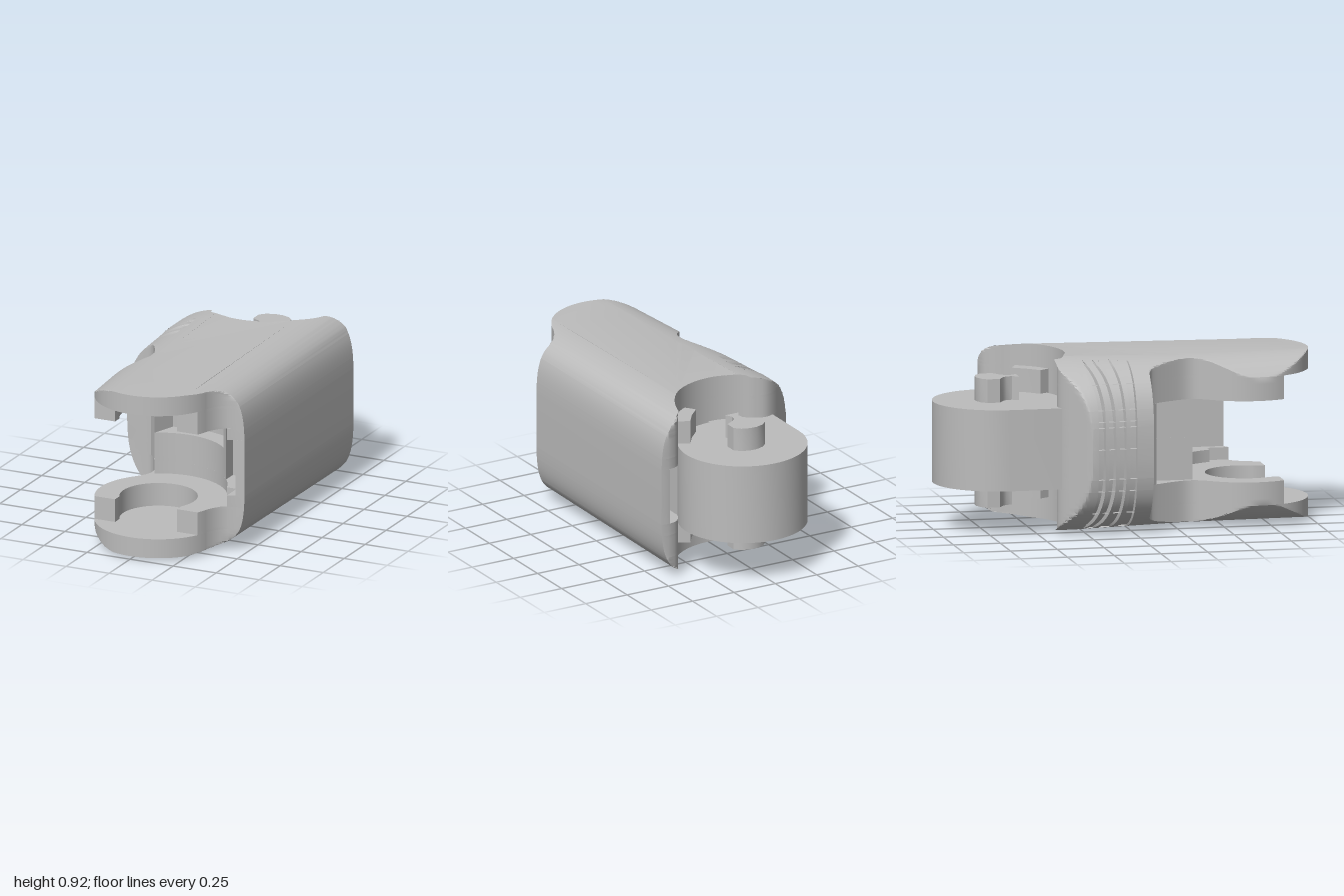
import * as THREE from 'three';
import { toCreasedNormals } from 'three/addons/utils/BufferGeometryUtils.js';

const grey = new THREE.MeshStandardMaterial({ color: 0xbcbcbc });
grey.name = 'plain grey';

const MID = 0.46, HALF = 0.46, HINGE = 0.66, GRIP_X = -0.6;
const GROOVES = [-0.03, -0.09, -0.147, -0.203];

// Plan points are [x, z] pairs
function arc(cz, r, a0, a1, n = 24) {
  return Array.from({ length: n + 1 }, (_, i) => {
    const a = a0 + (a1 - a0) * i / n;
    return [r * Math.cos(a), cz + r * Math.sin(a)];
  });
}
function spline(points, n = 20) {
  return new THREE.SplineCurve(points.map(p => new THREE.Vector2(...p))).getPoints(n).map(p => [p.x, p.y]);
}

// Barrel-shaped limit of the body, wider at the grip and grooved there
function limitX(x, y, z) {
  const v = 0.987 * Math.min(Math.abs(y - MID) / HALF, 1);
  const right = 0.49 * Math.pow(1 - Math.pow(v, 4.5), 1 / 4.5);
  const k = Math.pow(1 - Math.pow(v, 2.8), 1 / 2.8);
  let left = -k * (0.474 - 0.112 * Math.max(z, -0.24));
  if (x === GRIP_X && left < -0.23 && GROOVES.some(c => Math.abs(z - c) < 0.0175)) left += 0.03;
  return Math.min(right, Math.max(left, x));
}

// Rear edge of the socket at a given x
function rearZ(x) {
  if (x < -0.2) return -1;
  if (x < 0.344) return -HINGE + Math.sqrt(0.355 ** 2 - x * x);
  return -0.573 - 0.09 * Math.sqrt(Math.min(1, (x - 0.344) / 0.1));
}

// Extrudes a plan between two heights; rounded slabs follow the barrel shape
function slab(name, plan, y0, y1, { steps = 1, ease = t => t, barrel = true } = {}) {
  const shape = new THREE.Shape(plan.map(([x, z]) => new THREE.Vector2(x, -z)));
  const geo = new THREE.ExtrudeGeometry(shape, { depth: 1, steps, bevelEnabled: false });
  geo.rotateX(-Math.PI / 2);
  const p = geo.attributes.position;
  for (let i = 0; i < p.count; i++) {
    const x = Math.abs(p.getX(i) - GRIP_X) < 1e-4 ? GRIP_X : p.getX(i);
    const t = THREE.MathUtils.clamp(p.getY(i), 0, 1);
    let y = y0 + (y1 - y0) * ease(t), z = p.getZ(i);
    if (barrel) {
      const nx = limitX(x, y, z);
      // grip grooves fan out over the top and bottom
      if (x === GRIP_X && z < -0.02) z += Math.max(-0.3, 3 * (z + 0.02)) * THREE.MathUtils.clamp(nx + 0.47, 0, 0.22);
      // trimmed edges stay in front of the socket
      if (nx !== x) z = Math.max(z, rearZ(nx));
      // the faces slope down slightly towards the fork
      const over = Math.abs(y - MID) - 0.34;
      if (over > 0) y -= Math.sign(y - MID) * over * 0.13 * THREE.MathUtils.clamp((z + 0.3) / 0.6, 0, 1);
      p.setX(i, nx);
      p.setZ(i, z);
    }
    p.setY(i, y);
  }
  geo.deleteAttribute('uv');
  const mesh = new THREE.Mesh(toCreasedNormals(geo, 0.6), grey);
  mesh.name = name;
  return mesh;
}

// Shared stretches of the body plan
const rightWall = [[0.49, -0.66], [0.49, 0.64], [0.445, 0.643]];
const shoulder = [...rightWall, [0.4, 0.654], [0.365, 0.677], [0.342, 0.71]];
const waist = spline([[-0.256, 0.444], [-0.21, 0.38], [-0.198, 0.32], [-0.22, 0.25],
  [-0.285, 0.13], [-0.32, 0.09], [-0.36, 0.08]], 28).slice(1);
const grip = [[-0.46, 0.08], [GRIP_X, 0.079],
  ...GROOVES.flatMap(c => [c + 0.019, c + 0.016, c - 0.016, c - 0.019]).map(z => [GRIP_X, z]),
  [GRIP_X, -0.25], ...spline([[-0.5, -0.255], [-0.45, -0.3], [-0.36, -0.375], [-0.29, -0.4], [-0.22, -0.38]], 16)];
const socketEnd = [...arc(-HINGE, 0.355, 2.17, 0.25, 48), [0.36, -0.61], [0.385, -0.643], [0.41, -0.657], [0.45, -0.665]];

function platePlan() {
  return [...shoulder, ...arc(HINGE, 0.335, 0.25, Math.PI + 0.7, 90), ...waist, ...grip, ...socketEnd];
}

// Fork layer with a round seat open to the front
function seatPlan() {
  return [...shoulder, ...arc(HINGE, 0.335, 0.25, 0.464, 4), [0.18, 0.81],
    ...arc(HINGE, 0.205, 0.5, -Math.PI - 0.5, 40), [-0.18, 0.81],
    ...arc(HINGE, 0.335, Math.PI - 0.464, Math.PI + 0.7, 24), ...waist, ...grip, ...socketEnd];
}

// Middle layer: concave front wall, side pocket, optional groove and window
function corePlan(groove, windowed) {
  const start = windowed ? -0.657 : -0.31;
  const front = groove
    ? [...arc(HINGE, 0.36, start, -0.803, 5), ...arc(HINGE, 0.46, -1.0, -1.86, 14), [-0.175, 0.346]]
    : arc(HINGE, 0.36, start, -2.08);
  const pocket = [[-0.175, 0.0], [-0.19, -0.01], [-0.285, 0.13], [-0.32, 0.09], [-0.36, 0.08]];
  return windowed
    ? [[0.345, 0.36], [0.285, 0.36], ...front, ...pocket, ...grip, ...arc(-HINGE, 0.355, 2.17, 0.237)]
    : [...rightWall, [0.4, 0.665], [0.4, 0.55], ...front, ...pocket, ...grip, ...socketEnd];
}

export function createModel() {
  const model = new THREE.Group();
  model.name = 'hingedLink';

  // Upper and lower fork plates with rounded outer edges
  const plate = platePlan(), seat = seatPlan();
  model.add(slab('upperPlate', plate, 0.8, 0.9197, { steps: 28, ease: t => 1 - Math.pow(1 - t, 1.8) }));
  model.add(slab('lowerPlate', plate, 0.0003, 0.12, { steps: 28, ease: t => Math.pow(t, 1.8) }));
  model.add(slab('upperSeat', seat, 0.675, 0.8, { steps: 7 }));
  model.add(slab('lowerSeat', seat, 0.12, 0.245, { steps: 7 }));

  // Hollow middle of the body
  const layers = [[0.245, 0.31, false, false], [0.31, 0.47, false, true], [0.47, 0.585, true, true],
    [0.585, 0.615, false, true], [0.615, 0.675, false, false]];
  for (const [y0, y1, groove, windowed] of layers)
    model.add(slab('core', corePlan(groove, windowed), y0, y1, { steps: 3 }));

  // Thin wall outside the through window
  model.add(slab('sideWall', [[0.44, 0.645], [0.49, 0.64], [0.49, -0.66], [0.46, -0.665], [0.44, -0.664]],
    0.31, 0.615, { steps: 4 }));

  // Rear tongue that fits the next fork
  const tongue = [[-0.34, -0.32], ...arc(-HINGE, 0.34, Math.PI, Math.PI * 2.5, 44), [0, -0.28], [-0.2, -0.28]];
  model.add(slab('tongue', tongue, 0.245, 0.675, { barrel: false }));

  // Hinge pins and stop blocks, above and below the tongue
  const half = [[0.04, -0.55], [0.02, -0.585], [0.025, -0.615], [0.045, -0.637], [0.095, -0.665],
    [0.095, -0.73], [0.065, -0.76], [0.02, -0.775]];
  const pin = [...half, ...half.map(([x, z]) => [-x, z]).reverse()];
  const stop = [[0.24, -0.53], [0.315, -0.495], [0.25, -0.4], [0.17, -0.345], [0.13, -0.4], [0.19, -0.46]];
  for (const [side, y0, y1] of [['upper', 0.67, 0.8], ['lower', 0.12, 0.25]]) {
    model.add(slab(side + 'Pin', pin, y0, y1, { barrel: false }));
    model.add(slab(side + 'Stop', stop, y0, y1, { barrel: false }));
  }
  return model;
}
